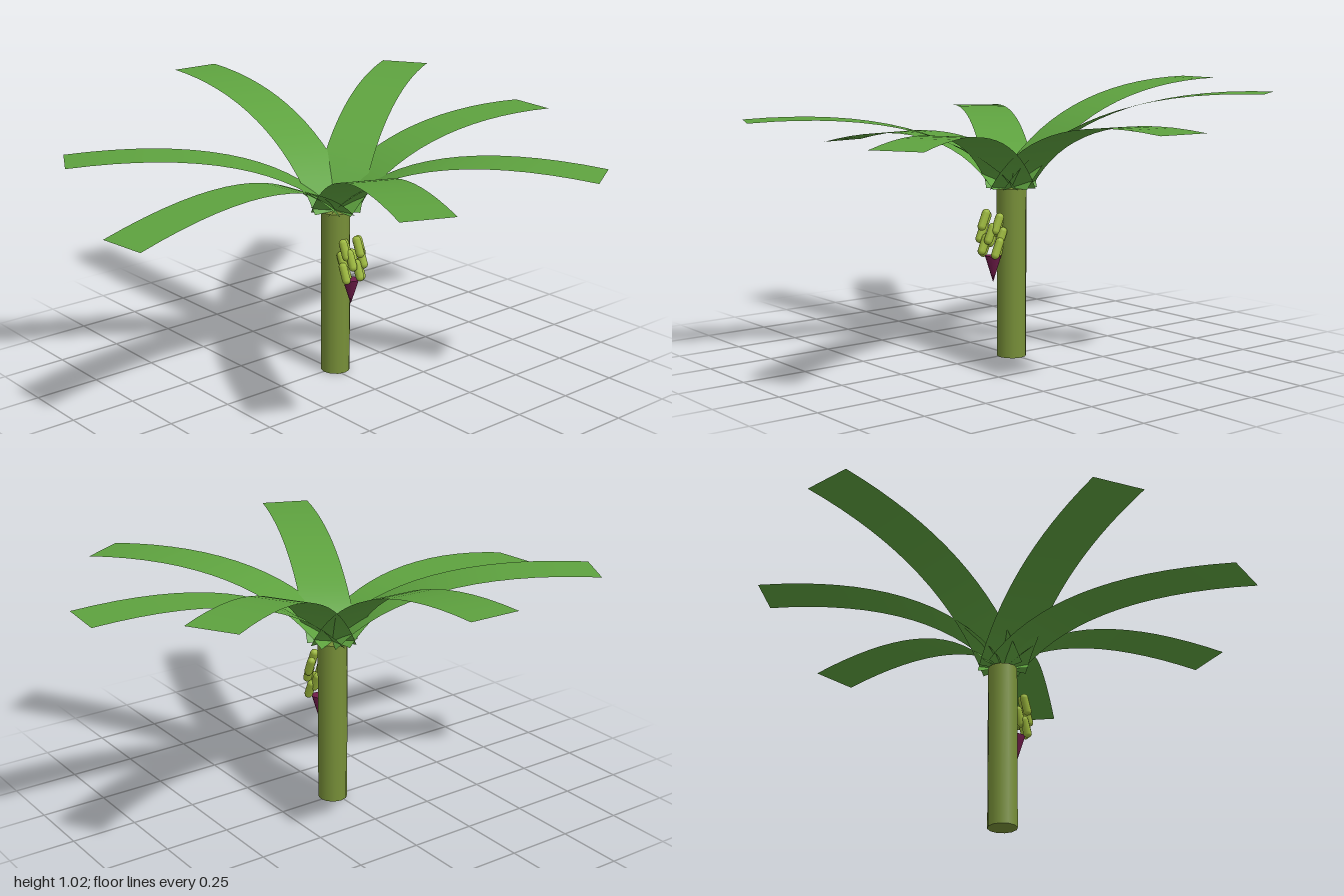
import * as THREE from 'three';

const material = (name, color, side = THREE.FrontSide) => {
  const m = new THREE.MeshStandardMaterial({ color, side });
  m.name = name;
  return m;
};

const CENTER_X = 0.004;
const CENTER_Z = -0.015;
const CROWN_Y = 0.64;

// Flat strip along +x: steep at the root, arching over towards the tip
function frondGeometry(length, arch, tipHeight) {
  const geo = new THREE.PlaneGeometry(1, 0.192, 16, 2);
  geo.rotateX(-Math.PI / 2);
  const curve = new THREE.QuadraticBezierCurve(
    new THREE.Vector2(0, 0),
    new THREE.Vector2(0.28 * length, arch),
    new THREE.Vector2(length, tipHeight),
  );
  const p = geo.attributes.position;
  for (let i = 0; i < p.count; i++) {
    const c = curve.getPoint(p.getX(i) + 0.5);
    p.setXYZ(i, c.x, c.y, p.getZ(i));
  }
  geo.computeVertexNormals();
  return geo;
}

export function createModel() {
  const trunkGreen = material('trunk green', 0x778f38);
  const leafGreen = material('leaf green', 0x5ea23f, THREE.DoubleSide);
  const fruitGreen = material('fruit green', 0x9cb83c);
  const budPurple = material('bud purple', 0x701c4a);

  const model = new THREE.Group();
  model.name = 'bananaPlant';
  const add = (parent, name, geo, mat, x, y, z) => {
    const mesh = new THREE.Mesh(geo, mat);
    mesh.name = name;
    mesh.position.set(x, y, z);
    parent.add(mesh);
    return mesh;
  };

  // Trunk
  add(model, 'trunk', new THREE.CylinderGeometry(0.056, 0.056, CROWN_Y, 12),
    trunkGreen, CENTER_X, CROWN_Y / 2, CENTER_Z);

  // Fronds: heading in degrees from +x towards +z, length, arch, tip height
  const fronds = new THREE.Group();
  fronds.name = 'fronds';
  model.add(fronds);
  [
    [83.9, 1.01, 0.28, 0.11],
    [118.9, 0.985, 0.3, 0.243],
    [182.5, 0.941, 0.38, 0.385],
    [238.4, 0.952, 0.38, 0.372],
    [274.6, 0.979, 0.317, 0.27],
    [329.8, 0.988, 0.31, 0.228],
    [23.4, 0.978, 0.315, 0.267],
  ].forEach(([heading, length, arch, tipHeight]) => {
    const frond = add(fronds, 'frond', frondGeometry(length, arch, tipHeight),
      leafGreen, CENTER_X, CROWN_Y, CENTER_Z);
    frond.rotation.y = -THREE.MathUtils.degToRad(heading);
  });

  // Fruit bunch: three staggered rings, each tilted away from the trunk
  const bunch = new THREE.Group();
  bunch.name = 'fruitBunch';
  bunch.position.set(0.1, 0, CENTER_Z);
  model.add(bunch);
  const fruitGeo = new THREE.CapsuleGeometry(0.016, 0.052, 4, 8);
  [0.516, 0.47, 0.424].forEach((y, row) => {
    const ring = new THREE.Group();
    ring.name = 'fruitRing';
    ring.position.y = y;
    ring.rotation.z = 0.4;
    bunch.add(ring);
    for (let i = 0; i < 4; i++) {
      const a = (i + row / 2) * Math.PI / 2;
      add(ring, 'fruit', fruitGeo, fruitGreen,
        Math.cos(a) * 0.037, 0, Math.sin(a) * 0.037);
    }
  });

  // Flower bud hanging under the bunch
  const bud = add(model, 'flowerBud', new THREE.ConeGeometry(0.031, 0.1, 8),
    budPurple, 0.092, 0.342, CENTER_Z);
  bud.rotation.x = Math.PI;

  return model;
}
